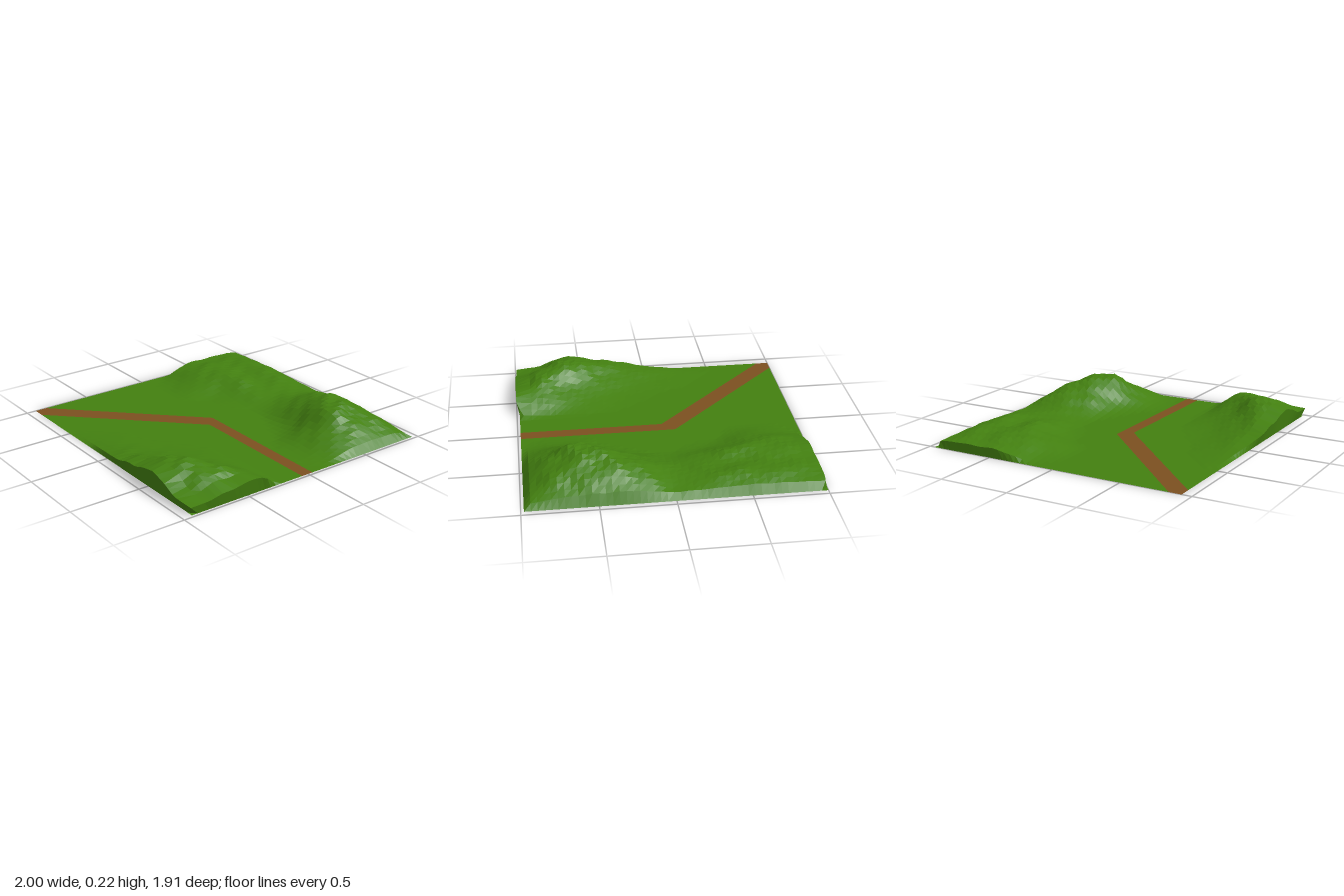
import * as THREE from 'three';

// Terrain tile: a grid of square cells, hills given by two coarse height maps (hundredths of a unit)
const COLS = 45, ROWS = 43, STEP = 0.044, X0 = -1, Z0 = 0.93 - ROWS * STEP;

const backHills = {
  x: -1, z: -0.95,
  rows: [
    [4, 5, 5, 5, 4, 4, 5, 6, 5, 4, 2],
    [6, 8, 9, 9, 7, 5, 12, 15, 14, 11, 3],
    [6, 8, 8, 7, 6, 6, 12, 19, 20, 13, 3],
    [6, 9, 10, 9, 5, 3, 8, 15, 21, 13, 3],
    [4, 7, 7, 3, 1, 0, 1, 4, 10, 8, 2],
    [0, 2, 3, 0, 0, 0, 0, 0, 2.5, 2, 0],
    [0, 0, 0, 0, 0, 0, 0, 0, 0, 0, 0],
  ],
};
const frontHill = {
  x: -0.4, z: 0.25,
  rows: [
    [0, 0, 0, 0, 0, 0, 0, 1],
    [0, 0, 0, 0.5, 2, 4, 8, 11],
    [0, 0, 0.5, 2, 5, 9, 14, 9],
    [0, 1, 2.5, 5, 10, 18, 16, 6],
    [0.5, 2, 4.5, 8, 13, 17, 10, 5],
    [0, 1, 2, 4, 3, 3, 3, 4],
  ],
};

const cubic = (a, b, c, d, t) =>
  b + 0.5 * t * (c - a + t * (2 * a - 5 * b + 4 * c - d + t * (3 * (b - c) + d - a)));

// Smooth lookup in a height map (0.2 apart in x, 0.15 in z)
function sample(map, x, z) {
  const u = (x - map.x) / 0.2, v = (z - map.z) / 0.15;
  const nx = map.rows[0].length, nz = map.rows.length;
  if (u < -1 || v < -1 || v > nz) return 0;
  const i = Math.floor(u), j = Math.floor(v);
  const at = (c, r) => (c < 0 && map.x > -1) || (r < 0 && map.z > 0) ? 0
    : map.rows[THREE.MathUtils.clamp(r, 0, nz - 1)][THREE.MathUtils.clamp(c, 0, nx - 1)];
  const line = r => cubic(at(i - 1, r), at(i, r), at(i + 1, r), at(i + 2, r), u - i);
  return 0.01 * Math.max(0, cubic(line(j - 1), line(j), line(j + 1), line(j + 2), v - j));
}

function height(x, z) {
  const h = z < 0.05 ? sample(backHills, x, z) : sample(frontHill, x, z);
  // Small ruggedness that grows with the height
  const rough = Math.sin(23 * x + 9 * z) * Math.sin(19 * z - 7 * x) + 0.5 * Math.sin(41 * x - 33 * z);
  return h < 0.002 ? 0 : h * (1 + 0.06 * rough);
}

// Grid vertex: the rim lies on the ground and the ring inside it is pushed out into a steep bank
function vertex(i, j) {
  let x = X0 + i * STEP, z = Z0 + j * STEP;
  const rim = i === 0 || j === 0 || i === COLS || j === ROWS;
  const h = height(x, z);
  if (rim) return [x, 0, z];
  if (i === 1) x -= Math.min(0.04, 0.7 * h);
  if (i === COLS - 1 && z > 0.2) x += Math.min(0.064, 0.9 * h);
  if (j === ROWS - 1) z += Math.min(0.066, h);
  return [x, h, z];
}

// Trail: a straight run from the left edge, then a diagonal run to the front right corner
function onTrail(i, j) {
  const row = ROWS - j, diagonal = i - row;
  return (row < 22 && Math.abs(diagonal) < 2) || (row > 20 && row < 22 && diagonal > -2);
}

function surface(name, positions, color) {
  const geometry = new THREE.BufferGeometry();
  geometry.setAttribute('position', new THREE.Float32BufferAttribute(positions, 3));
  geometry.computeVertexNormals();
  const material = new THREE.MeshStandardMaterial({ color, flatShading: true, side: THREE.DoubleSide });
  const mesh = new THREE.Mesh(geometry, material);
  mesh.name = name;
  return mesh;
}

export function createModel() {
  const grass = [], trail = [];
  for (let j = 0; j < ROWS; j++) {
    for (let i = 0; i < COLS; i++) {
      const a = [i, j], b = [i, j + 1], c = [i + 1, j + 1], d = [i + 1, j];
      for (const triangle of [[a, b, d], [b, c, d]]) {
        const ci = (triangle[0][0] + triangle[1][0] + triangle[2][0]) / 3;
        const cj = (triangle[0][1] + triangle[1][1] + triangle[2][1]) / 3;
        const target = onTrail(ci, cj) ? trail : grass;
        for (const [p, q] of triangle) target.push(...vertex(p, q));
      }
    }
  }
  const model = new THREE.Group();
  model.name = 'terrainTile';
  model.add(surface('grassTerrain', grass, 0x438010), surface('dirtTrail', trail, 0x7c5020));
  return model;
}
